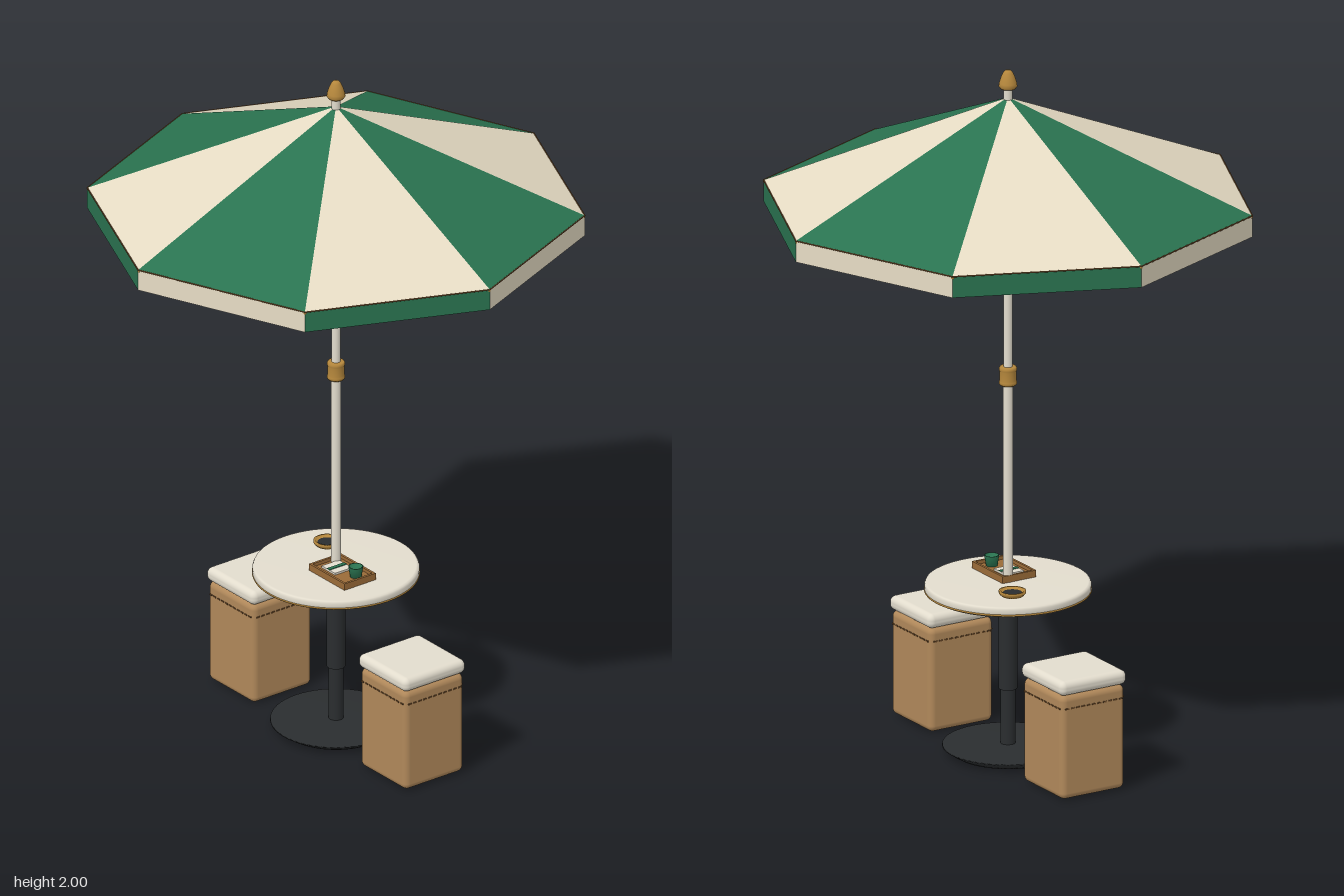
import * as THREE from 'three';
import { RoundedBoxGeometry } from 'three/addons/geometries/RoundedBoxGeometry.js';

const paint = (color, side = THREE.FrontSide) => new THREE.MeshStandardMaterial({ color, side });

export function createModel() {
  const model = new THREE.Group();
  const green = paint(0x2a7350, THREE.DoubleSide);
  const cream = paint(0xe6dcc4, THREE.DoubleSide);
  const ivory = paint(0xe2dccd);
  const gold = paint(0xb5873c);
  const black = paint(0x2a2d2f);
  const tan = paint(0xb0885a);
  const wood = paint(0x9a6b38);
  const darkThread = paint(0x6b4a28);

  const add = (parent, name, geometry, material, x = 0, y = 0, z = 0) => {
    const mesh = new THREE.Mesh(geometry, material);
    mesh.name = name;
    mesh.position.set(x, y, z);
    parent.add(mesh);
    return mesh;
  };
  const group = (name, x = 0, y = 0, z = 0) => {
    const g = new THREE.Group();
    g.name = name;
    g.position.set(x, y, z);
    model.add(g);
    return g;
  };
  const lathe = (points, sides = 40) =>
    new THREE.LatheGeometry(points.map(([r, y]) => new THREE.Vector2(r, y)), sides);
  // Round bar between two points
  const bar = (parent, name, a, b, radius, material) => {
    const d = b.clone().sub(a);
    const mesh = add(parent, name, new THREE.CylinderGeometry(radius, radius, d.length(), 8), material);
    mesh.position.copy(a).addScaledVector(d, 0.5);
    mesh.quaternion.setFromUnitVectors(new THREE.Vector3(0, 1, 0), d.normalize());
  };
  // Flat polygon fan
  const panel = (...corners) => {
    const points = [];
    for (let i = 1; i < corners.length - 1; i++) points.push(corners[0], corners[i], corners[i + 1]);
    const g = new THREE.BufferGeometry().setFromPoints(points);
    g.computeVertexNormals();
    return g;
  };

  // Canopy: eight flat panels, each with a valance of the other colour
  const canopy = group('canopy');
  const R = 0.695, rimY = 1.625, apexY = 1.92;
  const corner = (i, r, y) =>
    new THREE.Vector3(r * Math.cos(i * Math.PI / 4), y, r * Math.sin(i * Math.PI / 4));
  const apex = new THREE.Vector3(0, apexY, 0);
  for (let i = 0; i < 8; i++) {
    const a = corner(i, R, rimY), b = corner(i + 1, R, rimY);
    add(canopy, 'canopyPanel', panel(apex, b, a), i % 2 ? green : cream);
    add(canopy, 'valance', panel(a, b, corner(i + 1, R, 1.563), corner(i, R, 1.563)), i % 2 ? cream : green);
    bar(canopy, 'rimPiping', a, b, 0.002, darkThread);
    // Rib under each seam and a strut to the runner
    bar(canopy, 'rib', corner(i, 0.015, 1.9), corner(i, R - 0.01, rimY - 0.009), 0.005, ivory);
    bar(canopy, 'strut', corner(i, 0.015, 1.585), corner(i, 0.36, 1.757), 0.004, ivory);
    add(canopy, 'ribTip', new THREE.SphereGeometry(0.005, 10, 8), gold).position.copy(corner(i, R - 0.004, rimY - 0.004));
  }
  add(canopy, 'topHub', new THREE.CylinderGeometry(0.024, 0.024, 0.04, 24), ivory, 0, 1.865, 0);
  add(canopy, 'runner', new THREE.CylinderGeometry(0.021, 0.021, 0.035, 24), ivory, 0, 1.585, 0);

  // Pole with joint collar and finial
  const mast = group('mast');
  add(mast, 'upperPole', new THREE.CylinderGeometry(0.0125, 0.0125, 0.85, 24), ivory, 0, 1.525, 0);
  add(mast, 'lowerPole', new THREE.CylinderGeometry(0.0145, 0.0145, 0.62, 24), ivory, 0, 0.8, 0);
  add(mast, 'jointCollar', lathe([[0, 1.078], [0.022, 1.078], [0.025, 1.082], [0.025, 1.088], [0.023, 1.092],
    [0.023, 1.118], [0.025, 1.122], [0.025, 1.128], [0.022, 1.132], [0, 1.132]]), gold);
  add(mast, 'finial', lathe([[0, 1.945], [0.021, 1.946], [0.026, 1.953], [0.025, 1.962], [0.02, 1.978],
    [0.014, 1.992], [0.009, 1.998], [0, 2]]), gold);

  // Table on a pedestal
  const table = group('table');
  add(table, 'tableTop', lathe([[0, 0.472], [0.222, 0.472], [0.229, 0.476], [0.232, 0.482], [0.232, 0.495],
    [0.229, 0.501], [0.223, 0.503], [0, 0.503]], 64), ivory);
  const trim = add(table, 'tableTrim', new THREE.TorusGeometry(0.23, 0.0035, 8, 64), gold, 0, 0.48, 0);
  trim.rotation.x = Math.PI / 2;
  add(table, 'tableFlange', lathe([[0, 0.432], [0.034, 0.434], [0.038, 0.44], [0.055, 0.468], [0.055, 0.473], [0, 0.473]]), black);
  add(table, 'upperColumn', new THREE.CylinderGeometry(0.026, 0.026, 0.25, 32), black, 0, 0.315, 0);
  add(table, 'lowerColumn', new THREE.CylinderGeometry(0.021, 0.021, 0.19, 32), black, 0, 0.115, 0);
  add(table, 'base', lathe([[0, 0.003], [0.15, 0.003], [0.165, 0.012], [0.183, 0.024], [0.182, 0.028],
    [0.05, 0.03], [0, 0.03]], 56), black);

  // Square stools with stitched covers and cushions
  for (const side of [-1, 1]) {
    const stool = group(side > 0 ? 'leftStool' : 'rightStool', side * 0.343);
    add(stool, 'stoolBody', new RoundedBoxGeometry(0.208, 0.304, 0.208, 4, 0.018), tan, 0, 0.158, 0);
    add(stool, 'cushion', new RoundedBoxGeometry(0.218, 0.042, 0.218, 5, 0.018), ivory, 0, 0.331, 0);
    for (let face = 0; face < 4; face++) {
      const row = new THREE.Group();
      row.name = 'stitchRow';
      row.rotation.y = face * Math.PI / 2;
      stool.add(row);
      for (let k = 0; k < 11; k++) {
        add(row, 'stitch', new THREE.BoxGeometry(0.011, 0.004, 0.004), darkThread, (k - 5) * 0.0175, 0.272, 0.104);
      }
    }
  }

  // Serving tray with a cup and folded napkin
  const tray = group('tray', 0.065, 0.503, 0.028);
  add(tray, 'trayFloor', new THREE.BoxGeometry(0.16, 0.01, 0.11), wood, 0, 0.006, 0);
  for (const s of [-1, 1]) {
    add(tray, 'trayLongEdge', new THREE.BoxGeometry(0.16, 0.018, 0.007), wood, 0, 0.012, s * 0.0515);
    add(tray, 'trayShortEdge', new THREE.BoxGeometry(0.007, 0.018, 0.11), wood, s * 0.0765, 0.012, 0);
  }
  add(tray, 'napkin', new THREE.BoxGeometry(0.06, 0.006, 0.06), ivory, -0.025, 0.014, 0);
  add(tray, 'napkinStripe', new THREE.BoxGeometry(0.012, 0.002, 0.06), green, -0.025, 0.018, 0);
  add(tray, 'cup', lathe([[0, 0.011], [0.016, 0.011], [0.021, 0.042], [0.018, 0.042], [0.015, 0.034], [0, 0.034]], 24),
    green, 0.045, 0, -0.012);

  // Round dish with dark bowl
  const dish = group('dish', -0.112, 0.503, -0.056);
  add(dish, 'dishBody', lathe([[0, 0], [0.03, 0], [0.038, 0.008], [0.038, 0.015], [0.032, 0.015], [0.027, 0.006], [0, 0.006]], 32), gold);
  add(dish, 'dishBowl', new THREE.CylinderGeometry(0.027, 0.027, 0.003, 28), black, 0, 0.0075, 0);

  return model;
}
